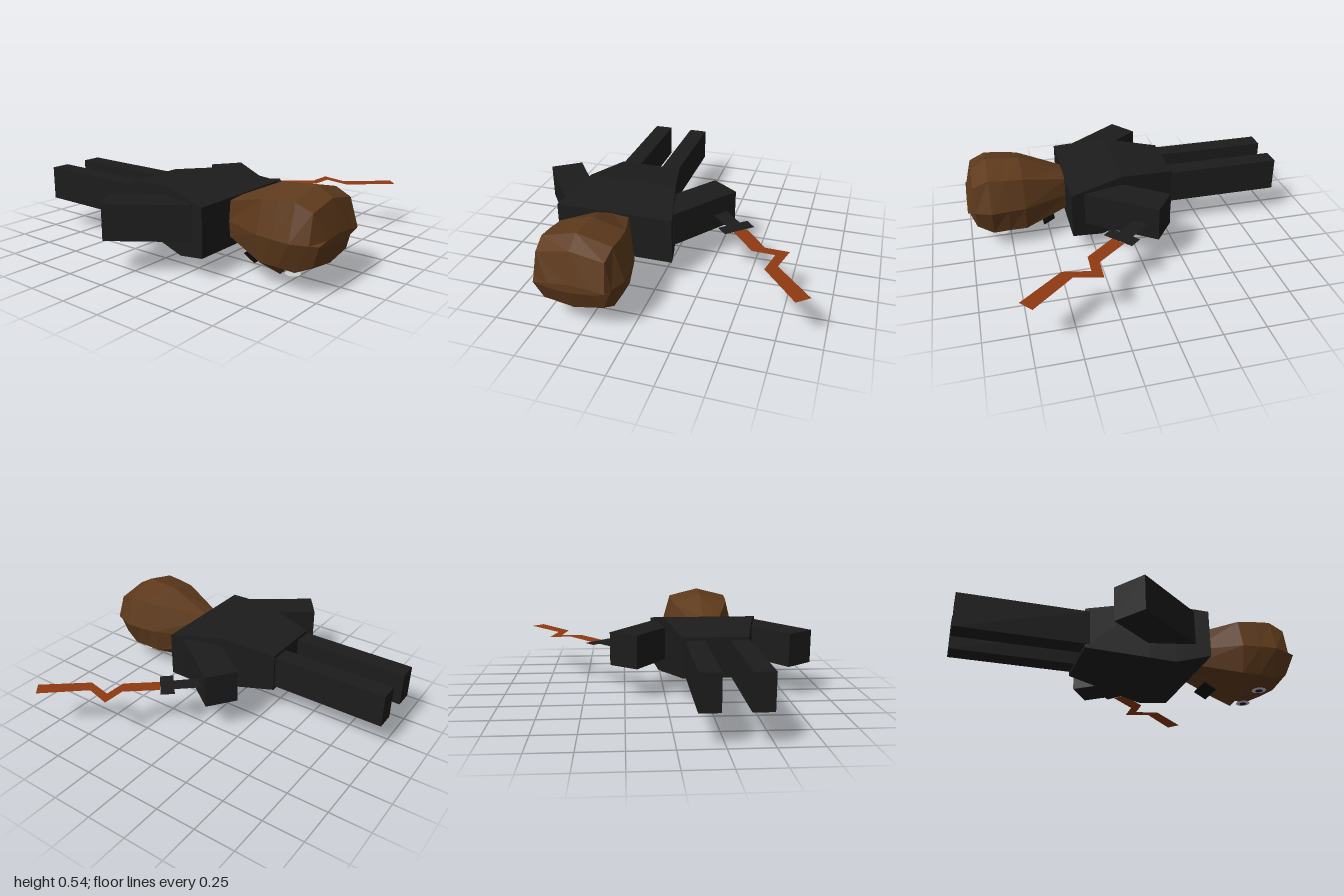
import * as THREE from 'three';

const material = (color) => new THREE.MeshStandardMaterial({ color, flatShading: true, side: THREE.DoubleSide });
const suit = material(0x1c1c1c);
const skin = material(0x5e3a1c);
const bladeMat = material(0x8f3a12);
const eyeWhite = material(0xe6e6e6);
const pupilMat = material(0x0a0a48);
const mouthMat = material(0x080808);

const MID = -0.285; // symmetry line of the body

function addMesh(parent, name, geometry, mat) {
  const mesh = new THREE.Mesh(geometry, mat);
  mesh.name = name;
  parent.add(mesh);
  return mesh;
}

// Closed loft along z; each ring is { z, pts: [[x, y], ...] }, clockwise seen from +z
function loft(rings) {
  const n = rings[0].pts.length;
  const pos = [];
  const at = (i, j) => [...rings[i].pts[j % n], rings[i].z];
  const centre = (i) => {
    const c = [0, 0, rings[i].z];
    for (const p of rings[i].pts) { c[0] += p[0] / n; c[1] += p[1] / n; }
    return c;
  };
  const last = rings.length - 1;
  for (let j = 0; j < n; j++) {
    for (let i = 0; i < last; i++) {
      const a = at(i, j), b = at(i, j + 1), c = at(i + 1, j + 1), d = at(i + 1, j);
      pos.push(...a, ...d, ...c, ...a, ...c, ...b);
    }
    pos.push(...centre(0), ...at(0, j), ...at(0, j + 1));
    pos.push(...centre(last), ...at(last, j + 1), ...at(last, j));
  }
  const geometry = new THREE.BufferGeometry();
  geometry.setAttribute('position', new THREE.Float32BufferAttribute(pos, 3));
  geometry.computeVertexNormals();
  return geometry;
}

// Flat outline lying in the horizontal plane, points given as [x, z]
function flatShape(points, y) {
  const shape = new THREE.Shape(points.map(([x, z]) => new THREE.Vector2(x, z)));
  return new THREE.ShapeGeometry(shape).rotateX(Math.PI / 2).translate(0, y, 0);
}

function buildHead() {
  const head = new THREE.Group();
  head.name = 'head';
  head.position.x = -0.293;

  // Half sections from crown line to chin line, mirrored into full rings
  const sections = [
    [0.38, [[0, 0.40], [0.10, 0.39], [0.11, 0.28], [0.10, 0.19], [0, 0.16]]],
    [0.655, [[0, 0.525], [0.19, 0.47], [0.235, 0.29], [0.20, 0.13], [0, 0]]],
    [0.76, [[0, 0.533], [0.20, 0.48], [0.247, 0.29], [0.20, 0.13], [0, 0.10]]],
    [0.86, [[0, 0.54], [0.20, 0.49], [0.256, 0.29], [0.19, 0.12], [0, 0.085]]],
    [0.955, [[0, 0.485], [0.19, 0.45], [0.22, 0.29], [0.17, 0.17], [0, 0.14]]],
    [1.0, [[0, 0.31], [0.12, 0.30], [0.20, 0.29], [0.12, 0.27], [0, 0.26]]],
  ];
  const rings = sections.map(([z, half]) => ({
    z,
    pts: [...half, ...half.slice(1, -1).reverse().map(([x, y]) => [-x, y])],
  }));
  addMesh(head, 'skull', loft(rings), skin);

  // Face parts on the underside
  for (const side of [-1, 1]) {
    const eye = addMesh(head, side > 0 ? 'leftEye' : 'rightEye',
      new THREE.CircleGeometry(0.043, 16).rotateX(Math.PI / 2), eyeWhite);
    eye.position.set(side * 0.105, 0.075, 0.8);
    const pupil = addMesh(eye, 'pupil', new THREE.CircleGeometry(0.022, 12).rotateX(Math.PI / 2), pupilMat);
    pupil.position.y = -0.004;
  }
  const mouth = addMesh(head, 'mouth', new THREE.BoxGeometry(0.145, 0.01, 0.08), mouthMat);
  mouth.position.set(0, 0.08, 0.5);
  mouth.rotation.x = 0.51;
  return head;
}

function buildSword() {
  const sword = new THREE.Group();
  sword.name = 'sword';
  const y = 0.295;
  addMesh(sword, 'handle', flatShape([[0.20, 0.02], [0.27, -0.05], [0.435, 0.13], [0.365, 0.19]], y), suit);
  addMesh(sword, 'guard', flatShape([[0.295, 0.195], [0.35, 0.255], [0.497, 0.125], [0.442, 0.063]], y + 0.001), suit);
  addMesh(sword, 'zigzagBlade', flatShape([
    [0.393, 0.215], [0.46, 0.16], [0.60, 0.33], [0.74, 0.335], [0.70, 0.495],
    [0.907, 0.73], [0.837, 0.79], [0.635, 0.545], [0.667, 0.39], [0.535, 0.385],
  ], y), bladeMat);
  return sword;
}

export function createModel() {
  const model = new THREE.Group();
  model.name = 'lyingFigure';

  // Torso: z, half width, bottom, top
  const torso = [
    [-0.285, 0.195, 0.165, 0.41],
    [0.06, 0.277, 0.112, 0.46],
    [0.20, 0.31, 0.09, 0.44],
    [0.39, 0.355, 0.13, 0.41],
  ].map(([z, h, b, t]) => ({
    z,
    pts: [[MID - h, t], [MID + h, t], [MID + h, b], [MID - h, b]],
  }));
  addMesh(model, 'torso', loft(torso), suit);

  // Mirrored limbs
  for (const side of [-1, 1]) {
    const prefix = side > 0 ? 'left' : 'right';
    const leg = addMesh(model, prefix + 'Leg', new THREE.BoxGeometry(0.116, 0.205, 0.74), suit);
    leg.position.set(MID - 0.01 + side * 0.133, 0.288, -0.63);
    const arm = addMesh(model, prefix + 'Arm', new THREE.BoxGeometry(0.2, 0.205, 0.48), suit);
    arm.position.set(MID + side * 0.399, 0.303, 0.056);
    arm.rotation.y = -side * 0.628;
  }

  model.add(buildHead(), buildSword());
  return model;
}
